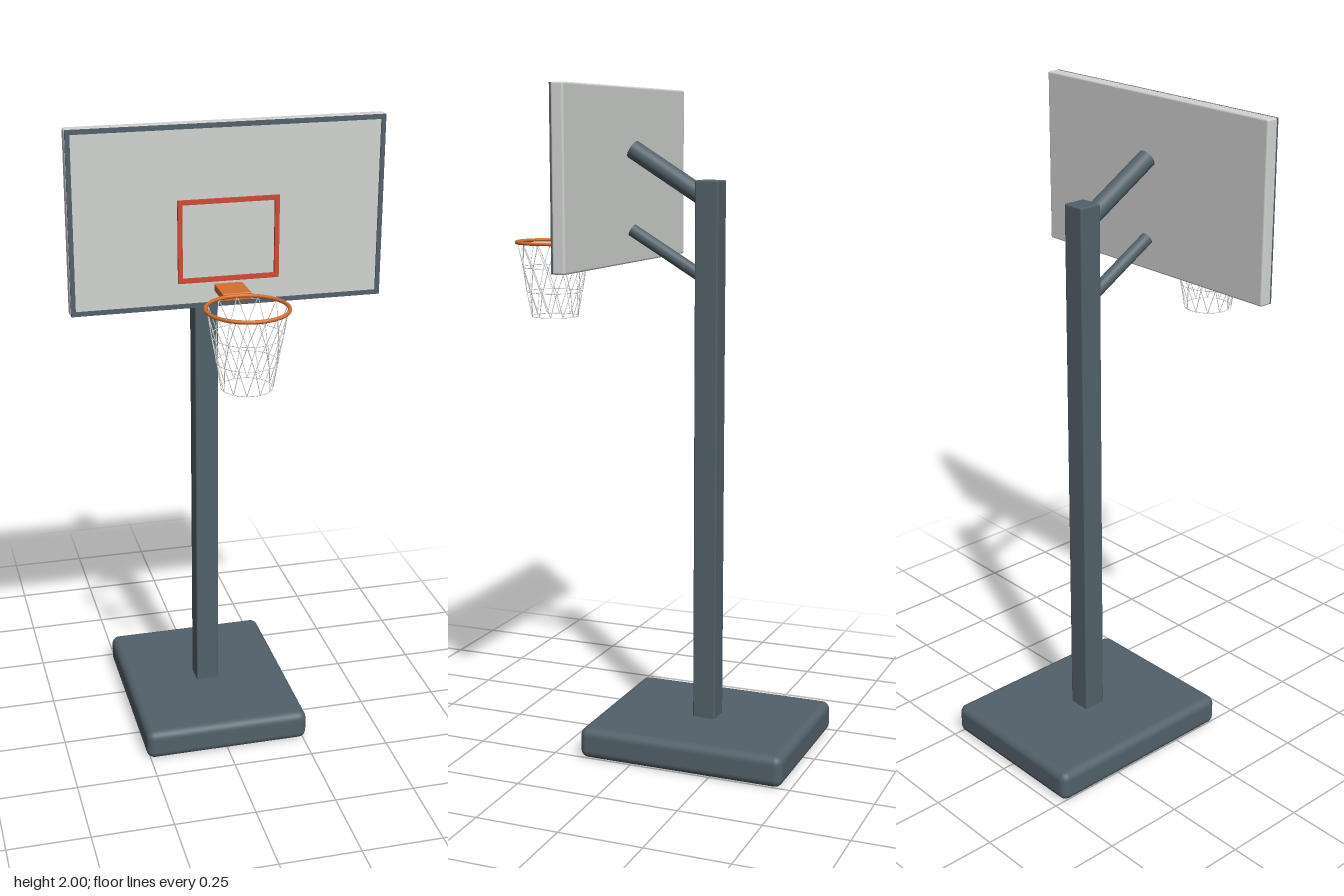
import * as THREE from 'three';
import { RoundedBoxGeometry } from 'three/addons/geometries/RoundedBoxGeometry.js';
import { mergeGeometries } from 'three/addons/utils/BufferGeometryUtils.js';

const material = (name, color) => {
  const m = new THREE.MeshStandardMaterial({ color });
  m.name = name;
  return m;
};

// Round bar between two points
function bar(a, b, radius, sides, open = false) {
  const dir = b.clone().sub(a);
  const g = new THREE.CylinderGeometry(radius, radius, dir.length(), sides, 1, open);
  g.applyQuaternion(new THREE.Quaternion().setFromUnitVectors(
    new THREE.Vector3(0, 1, 0), dir.clone().normalize()));
  const mid = a.clone().add(b).multiplyScalar(0.5);
  return g.translate(mid.x, mid.y, mid.z);
}

// Thin rectangular outline, centred, starting at z = 0
function outline(w, h, border, depth) {
  const rect = (path, x, y) =>
    path.moveTo(-x, -y).lineTo(x, -y).lineTo(x, y).lineTo(-x, y).closePath();
  const shape = rect(new THREE.Shape(), w / 2, h / 2);
  shape.holes.push(rect(new THREE.Path(), w / 2 - border, h / 2 - border));
  return new THREE.ExtrudeGeometry(shape, { depth, bevelEnabled: false });
}

export function createModel() {
  const steel = material('slate steel', 0x53616a);
  const boardGrey = material('board grey', 0xd2d4d2);
  const red = material('target red', 0xcf4a35);
  const orange = material('rim orange', 0xd67030);
  const white = material('net white', 0xe6e6e6);

  const model = new THREE.Group();
  model.name = 'basketballHoop';
  const add = (name, geometry, mat, x = 0, y = 0, z = 0) => {
    const mesh = new THREE.Mesh(geometry, mat);
    mesh.name = name;
    mesh.position.set(x, y, z);
    model.add(mesh);
    return mesh;
  };
  const v = (x, y, z) => new THREE.Vector3(x, y, z);

  // Stand
  add('base', new RoundedBoxGeometry(0.522, 0.095, 0.64, 3, 0.025), steel, 0, 0.0525 - 0.005, -0.155);
  add('pole', new RoundedBoxGeometry(0.072, 1.66, 0.072, 2, 0.005), steel, 0, 0.9, -0.154);

  // Sloping arms between the pole and the board
  add('upperArm', bar(v(0, 1.67, -0.15), v(0, 1.818, 0.092), 0.028, 24), steel);
  add('lowerArm', bar(v(0, 1.436, -0.15), v(0, 1.58, 0.094), 0.019, 24), steel);

  // Board with its painted border and target
  add('backboard', new RoundedBoxGeometry(0.9, 0.52, 0.038, 2, 0.006), boardGrey, 0, 1.74, 0.123);
  add('boardBorder', outline(0.896, 0.518, 0.013, 0.006), steel, 0, 1.74, 0.14);
  add('targetSquare', outline(0.29, 0.236, 0.013, 0.009), red, 0, 1.673, 0.141);

  // Rim and bracket
  const rimY = 1.538, rimZ = 0.354;
  add('rimBracket', new RoundedBoxGeometry(0.082, 0.022, 0.1, 2, 0.003), orange, 0, 1.536, 0.192);
  const rim = add('rim', new THREE.TorusGeometry(0.1145, 0.0055, 10, 48), orange, 0, rimY, rimZ);
  rim.rotation.x = Math.PI / 2;

  // Net: diamond mesh of thin cords narrowing downwards, with hoops
  const cords = 12, levels = 3, drop = 0.226, cord = 0.0012;
  const radiusAt = (i) => 0.112 - 0.04 * i / levels;
  const node = (i, k) => {
    const a = (k + i / 2) / cords * Math.PI * 2;
    return v(Math.sin(a) * radiusAt(i), -drop * i / levels, Math.cos(a) * radiusAt(i));
  };
  const parts = [];
  for (let i = 0; i < levels; i++) {
    for (let k = 0; k < cords; k++) {
      parts.push(bar(node(i, k), node(i + 1, k), cord, 5));
      parts.push(bar(node(i, k), node(i + 1, k - 1), cord, 5));
    }
    const hoop = new THREE.TorusGeometry(radiusAt(i + 1), cord, 5, 36);
    parts.push(hoop.rotateX(Math.PI / 2).translate(0, -drop * (i + 1) / levels, 0));
  }
  add('net', mergeGeometries(parts), white, 0, rimY, rimZ);

  return model;
}
